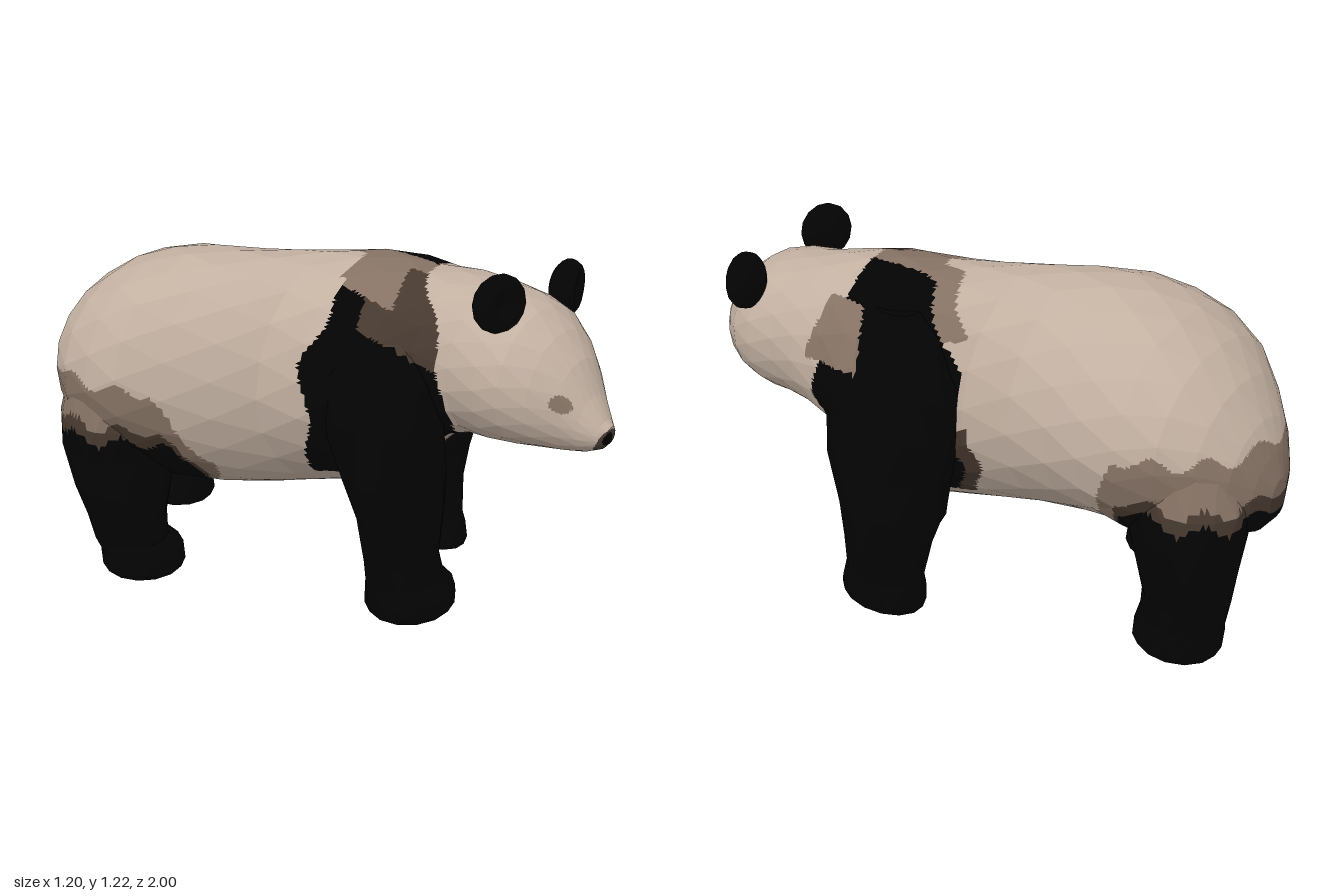
import * as THREE from 'three';

const mat = (name, color) => {
  const m = new THREE.MeshStandardMaterial({ color });
  m.name = name;
  return m;
};

// Faceted skin over staggered rings; every facet is split n x n so fur patches get soft outlines
function skin(rings, n, paint) {
  const count = rings[0].length;
  const faces = [];
  const at = (i, j) => rings[i][(j + count) % count];
  const middle = ring => ring.reduce((s, p) => s.add(p), new THREE.Vector3()).divideScalar(count);
  const last = rings.length - 1;
  const start = middle(rings[0]), end = middle(rings[last]);
  for (let j = 0; j < count; j++) {
    faces.push([start, at(0, j + 1), at(0, j)], [end, at(last, j), at(last, j + 1)]);
    for (let i = 0; i < last; i++) {
      const a = at(i, j), b = at(i, j + 1), c = at(i + 1, j + 1), d = at(i + 1, j);
      if (i % 2 === 0) faces.push([a, b, d], [b, c, d]);
      else faces.push([a, b, c], [a, c, d]);
    }
  }
  const buckets = [[], [], [], []];
  for (const [a, b, c] of faces) {
    const p = (u, v) => a.clone().addScaledVector(b.clone().sub(a), u / n).addScaledVector(c.clone().sub(a), v / n);
    const put = (q, r, s) => {
      const m = q.clone().add(r).add(s).divideScalar(3);
      for (const k of [q, r, s]) buckets[paint(m.x, m.y, m.z)].push(k.x, k.y, k.z);
    };
    for (let u = 0; u < n; u++) {
      for (let v = 0; v < n - u; v++) {
        put(p(u, v), p(u + 1, v), p(u, v + 1));
        if (u + v < n - 1) put(p(u + 1, v), p(u + 1, v + 1), p(u, v + 1));
      }
    }
  }
  const geo = new THREE.BufferGeometry();
  geo.setAttribute('position', new THREE.Float32BufferAttribute(buckets.flat(), 3));
  let offset = 0;
  buckets.forEach((b, k) => {
    if (b.length) geo.addGroup(offset, b.length / 3, k);
    offset += b.length / 3;
  });
  geo.computeVertexNormals();
  return geo;
}

const ring = (count, i, point) => Array.from({ length: count }, (_, j) => {
  const a = (j + (i % 2) * 0.5) / count * Math.PI * 2;
  return point(Math.cos(a), Math.sin(a));
});

// Fur colours
const CREAM = 0, TAN = 1, BROWN = 2, BLACK = 3;
const { smoothstep } = THREE.MathUtils;

// Dark thighs, further forward on the right hip
function hipFur(x, y, z) {
  const u = z - 0.34 * smoothstep(-x, 0.05, 0.32);
  const edge = 0.535 + 0.022 * Math.sin(22 * x + 30 * z) - 3 * Math.max(0, u + 0.62);
  if (y < edge) return BLACK;
  if (y < edge + 0.055) return BROWN;
  return y < edge + 0.21 ? TAN : CREAM;
}

// Dark band slanting across the shoulders, with a pale chest and brown patches on top
function shoulderFur(x, y, z) {
  if (y < 0.58 && x > 0.08 && x < 0.32 && z > 0.1) return x > 0.24 && y < 0.48 ? BROWN : CREAM;
  const wave = 0.022 * Math.sin(19 * y + 11 * x);
  const d = z - (0.25 - 0.36 * (x - 0.1));
  const half = 0.25 - 0.1 * smoothstep(y, 0.9, 1.14) + wave;
  if (d < (x < 0 ? 0.03 : 0) - half) {
    if (x > 0.15 && y > 1 && d > -half - 0.08) return TAN;
    return x > 0.1 && y > 0.42 && y < 0.72 && d > -half - 0.06 ? BROWN : CREAM;
  }
  if (x > 0.2 && y > 0.91 + wave && y < 1.08 && d > 0.09 + wave) return d < half + 0.06 ? TAN : CREAM;
  if (d > half) return CREAM;
  if (y < 0.43) return CREAM;
  if (y > 1.07 && x > -0.02 && x < 0.24) return d > 0.06 && x < 0.15 ? BROWN : TAN;
  if (x < 0.08 && x > -0.09 && y > 0.9 - x && d > -0.05) return BROWN;
  return BLACK;
}

function bodyFur(x, y, z) {
  if (z > 0.9) {
    if (Math.hypot(x - 0.258, y - 0.738) < 0.022) return BLACK;
    if (Math.hypot(x - 0.265, y - 0.727) < 0.042) return BROWN;
  }
  if (z > 0.7 && Math.hypot(x - 0.16, y - 0.85) < 0.027) return TAN;
  if (z > 0.53) return CREAM;
  return z < -0.18 ? hipFur(x, y, z) : shoulderFur(x, y, z);
}

function legFur(hind, x, y, z) {
  if (hind) return y > 0.42 ? hipFur(x, y, z) : BLACK;
  if (x > 0.13 && x < 0.22 && y > 0.4 && y < 0.59 && z < 0.41) return BROWN;
  return y > 0.85 ? shoulderFur(x, y, z) || BLACK : BLACK;
}

// Body and head, rump to nose: z, centre x, half width, top y, bottom y
const BODY = [
  [-1.0, -0.13, 0.05, 0.63, 0.49], [-0.97, -0.13, 0.13, 0.71, 0.45], [-0.92, -0.13, 0.205, 0.81, 0.44],
  [-0.84, -0.135, 0.285, 0.92, 0.435], [-0.74, -0.15, 0.365, 1.01, 0.42], [-0.62, -0.16, 0.415, 1.08, 0.36],
  [-0.5, -0.155, 0.43, 1.12, 0.31], [-0.38, -0.14, 0.42, 1.14, 0.295], [-0.25, -0.085, 0.385, 1.145, 0.295],
  [-0.12, -0.005, 0.37, 1.15, 0.305], [0, 0.09, 0.365, 1.155, 0.32], [0.12, 0.165, 0.38, 1.165, 0.335],
  [0.24, 0.195, 0.36, 1.165, 0.38], [0.34, 0.2, 0.335, 1.155, 0.48], [0.44, 0.255, 0.29, 1.145, 0.59],
  [0.54, 0.283, 0.257, 1.13, 0.615], [0.64, 0.287, 0.26, 1.115, 0.62], [0.72, 0.285, 0.245, 1.09, 0.635],
  [0.8, 0.283, 0.195, 1.035, 0.645], [0.87, 0.28, 0.138, 0.96, 0.655], [0.93, 0.275, 0.09, 0.86, 0.67],
  [0.98, 0.27, 0.05, 0.79, 0.695], [1.0, 0.27, 0.025, 0.775, 0.72],
];

// Legs, top to sole: y, centre x, half width, centre z, half depth
const LEGS = {
  frontRightLeg: [
    [1.05, 0.07, 0.06, 0.26, 0.08], [0.97, 0.02, 0.13, 0.27, 0.16], [0.85, 0, 0.178, 0.29, 0.205],
    [0.7, 0, 0.19, 0.3, 0.22], [0.5, 0.01, 0.19, 0.35, 0.17], [0.35, 0.01, 0.17, 0.39, 0.13],
    [0.2, 0.005, 0.148, 0.4, 0.115], [0.12, 0.015, 0.145, 0.41, 0.125], [0.07, 0.035, 0.168, 0.42, 0.145],
    [0.02, 0.038, 0.17, 0.42, 0.15], [0, 0.038, 0.16, 0.42, 0.14],
  ],
  frontLeftLeg: [
    [1.08, 0.36, 0.06, 0.13, 0.08], [1.0, 0.38, 0.12, 0.12, 0.16], [0.85, 0.4, 0.155, 0.11, 0.225],
    [0.7, 0.41, 0.163, 0.13, 0.25], [0.55, 0.415, 0.166, 0.14, 0.24], [0.4, 0.425, 0.16, 0.13, 0.2],
    [0.25, 0.44, 0.14, 0.14, 0.16], [0.12, 0.45, 0.11, 0.155, 0.15], [0.07, 0.45, 0.112, 0.16, 0.165],
    [0.02, 0.45, 0.112, 0.165, 0.168], [0, 0.45, 0.105, 0.165, 0.16],
  ],
  hindRightLeg: [
    [0.85, -0.36, 0.1, -0.55, 0.12], [0.7, -0.4, 0.17, -0.55, 0.18], [0.57, -0.41, 0.185, -0.56, 0.205],
    [0.45, -0.408, 0.188, -0.56, 0.205], [0.33, -0.43, 0.17, -0.52, 0.175], [0.2, -0.435, 0.14, -0.5, 0.14],
    [0.12, -0.43, 0.13, -0.49, 0.135], [0.07, -0.405, 0.146, -0.465, 0.15],
    [0.02, -0.405, 0.148, -0.46, 0.155], [0, -0.405, 0.14, -0.46, 0.145],
  ],
  hindLeftLeg: [
    [0.85, 0.0, 0.1, -0.7, 0.12], [0.7, 0.015, 0.16, -0.74, 0.17], [0.57, 0.025, 0.175, -0.765, 0.2],
    [0.45, 0.03, 0.178, -0.77, 0.2], [0.33, 0.045, 0.155, -0.79, 0.17], [0.2, 0.05, 0.128, -0.8, 0.15],
    [0.12, 0.05, 0.127, -0.79, 0.147], [0.07, 0.045, 0.138, -0.78, 0.153],
    [0.02, 0.045, 0.14, -0.775, 0.155], [0, 0.045, 0.13, -0.775, 0.145],
  ],
};

// Rounded ear with a shallow dish in its front
function earGeometry() {
  const geo = new THREE.SphereGeometry(1, 14, 12);
  geo.rotateX(Math.PI / 2);
  const pos = geo.attributes.position;
  for (let i = 0; i < pos.count; i++) {
    const r = Math.hypot(pos.getX(i), pos.getY(i));
    if (pos.getZ(i) > 0 && r < 0.75) pos.setZ(i, pos.getZ(i) - 0.9 * (1 - r / 0.75));
  }
  geo.computeVertexNormals();
  return geo;
}

export function createModel() {
  const model = new THREE.Group();
  model.name = 'panda';
  const fur = [
    mat('cream fur', 0xc2b0a1), mat('tan fur', 0x857264),
    mat('brown fur', 0x463930), mat('black fur', 0x030303),
  ];
  const add = (name, geo, material) => {
    const mesh = new THREE.Mesh(geo, material);
    mesh.name = name;
    model.add(mesh);
    return mesh;
  };

  // Sections narrow toward the belly and are fuller low on the rump
  const bodyRings = BODY.map(([z, cx, hw, top, bottom], i) => ring(20, i, (c, s) => {
    let across = c;
    if (s < 0 && z < -0.55) across = Math.sign(c) * Math.abs(c) ** 0.6;
    else if (s < 0 && z < 0.4) across = c * (1 - 0.2 * s * s);
    return new THREE.Vector3(cx + hw * across, (top + bottom) / 2 + (top - bottom) / 2 * s, z);
  }));
  add('bodyAndHead', skin(bodyRings, 9, bodyFur), fur);

  for (const [name, rows] of Object.entries(LEGS)) {
    const rings = rows.map(([y, cx, hx, cz, hz], i) => ring(14, i, (c, s) =>
      new THREE.Vector3(cx + hx * c, y, cz + hz * s)));
    const hind = name.startsWith('hind');
    add(name, skin(rings, 5, (x, y, z) => legFur(hind, x, y, z)), fur);
  }

  // Ears
  for (const [name, x, y, tilt] of [['rightEar', 0.127, 1.13, -0.33], ['leftEar', 0.51, 1.08, 0.33]]) {
    const ear = add(name, earGeometry(), fur[BLACK]);
    ear.position.set(x, y, 0.655);
    ear.rotation.y = tilt;
    ear.scale.set(0.092, 0.095, 0.06);
  }
  return model;
}
